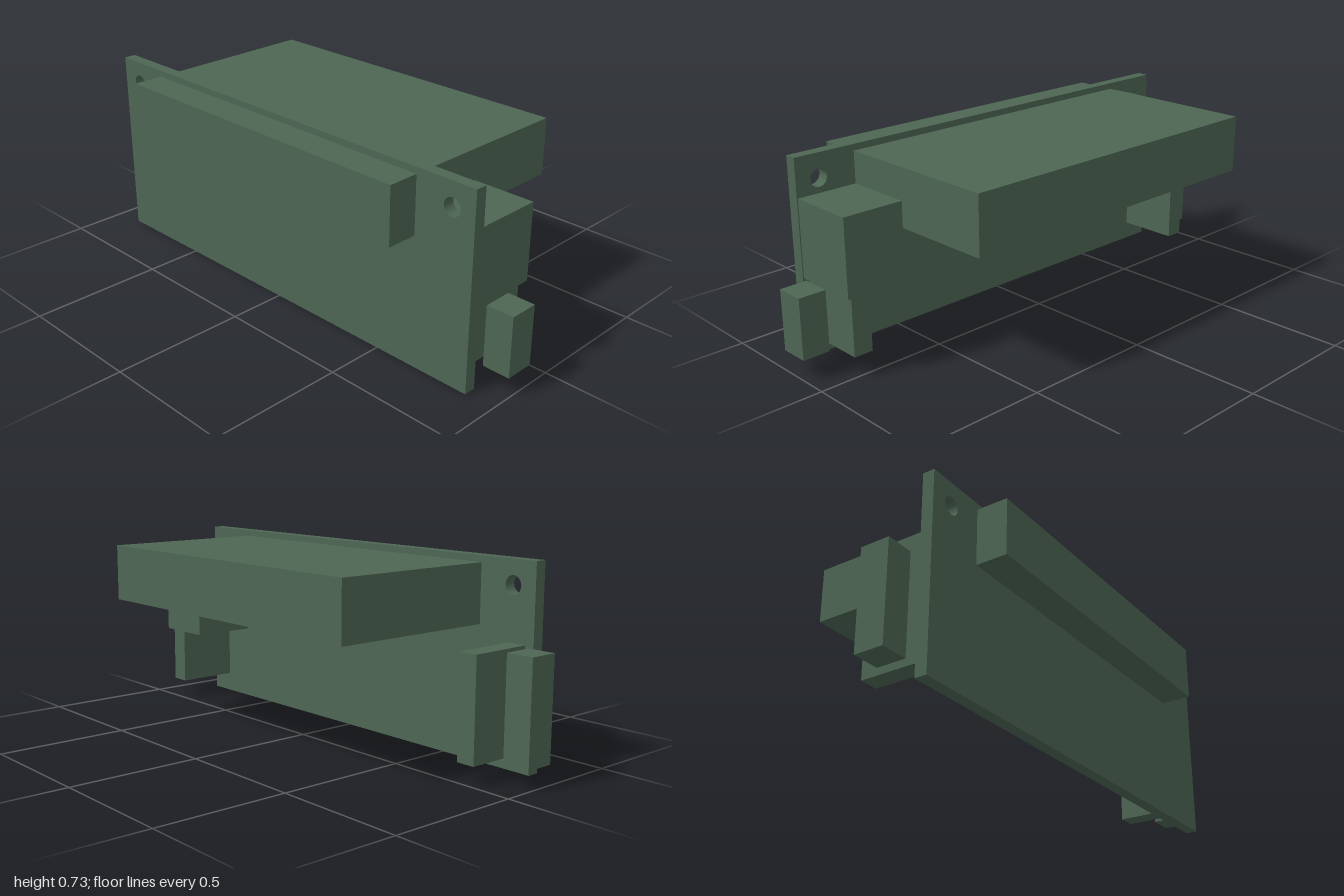
import * as THREE from 'three';

export function createModel() {
  const group = new THREE.Group();
  const mat = new THREE.MeshStandardMaterial({ color: 0x4d6654, flatShading: true });

  const add = (name, geometry) => {
    const mesh = new THREE.Mesh(geometry, mat);
    mesh.name = name;
    group.add(mesh);
    return mesh;
  };
  // Box given by its limits on each axis
  const box = (name, [x0, x1], [y0, y1], [z0, z1]) =>
    add(name, new THREE.BoxGeometry(x1 - x0, y1 - y0, z1 - z0))
      .position.set((x0 + x1) / 2, (y0 + y1) / 2, (z0 + z1) / 2);

  // Upright panel with two mounting holes, drawn in the z-y plane
  const thickness = 0.045;
  const outline = new THREE.Shape();
  outline.moveTo(-0.89, 0).lineTo(0.89, 0).lineTo(0.89, 0.726).lineTo(-0.89, 0.726).closePath();
  for (const z of [-0.797, 0.8]) {
    const hole = new THREE.Path();
    hole.absarc(-z, 0.638, 0.033, 0, Math.PI * 2, true);
    outline.holes.push(hole);
  }
  const panel = add('panel', new THREE.ExtrudeGeometry(outline, {
    depth: thickness, bevelEnabled: false, curveSegments: 24,
  }));
  panel.rotation.y = Math.PI / 2;
  panel.position.x = -0.285;

  // Long body passing through the panel
  box('mainBody', [-0.404, 0.403], [0.488, 0.702], [-0.657, 0.653]);

  // Front end: block, tab below it and loose end piece
  box('frontBlock', [-0.24, 0.018], [0.298, 0.584], [0.653, 0.886]);
  box('frontTab', [-0.24, 0.002], [0.077, 0.302], [0.79, 0.864]);
  box('frontEndPiece', [-0.208, -0.097], [0.077, 0.302], [0.896, 1]);

  // Back end: tab and loose end piece
  box('backTab', [-0.24, 0.002], [0.071, 0.442], [-0.855, -0.784]);
  box('backEndPiece', [-0.208, -0.097], [0.071, 0.442], [-1, -0.896]);

  return group;
}
